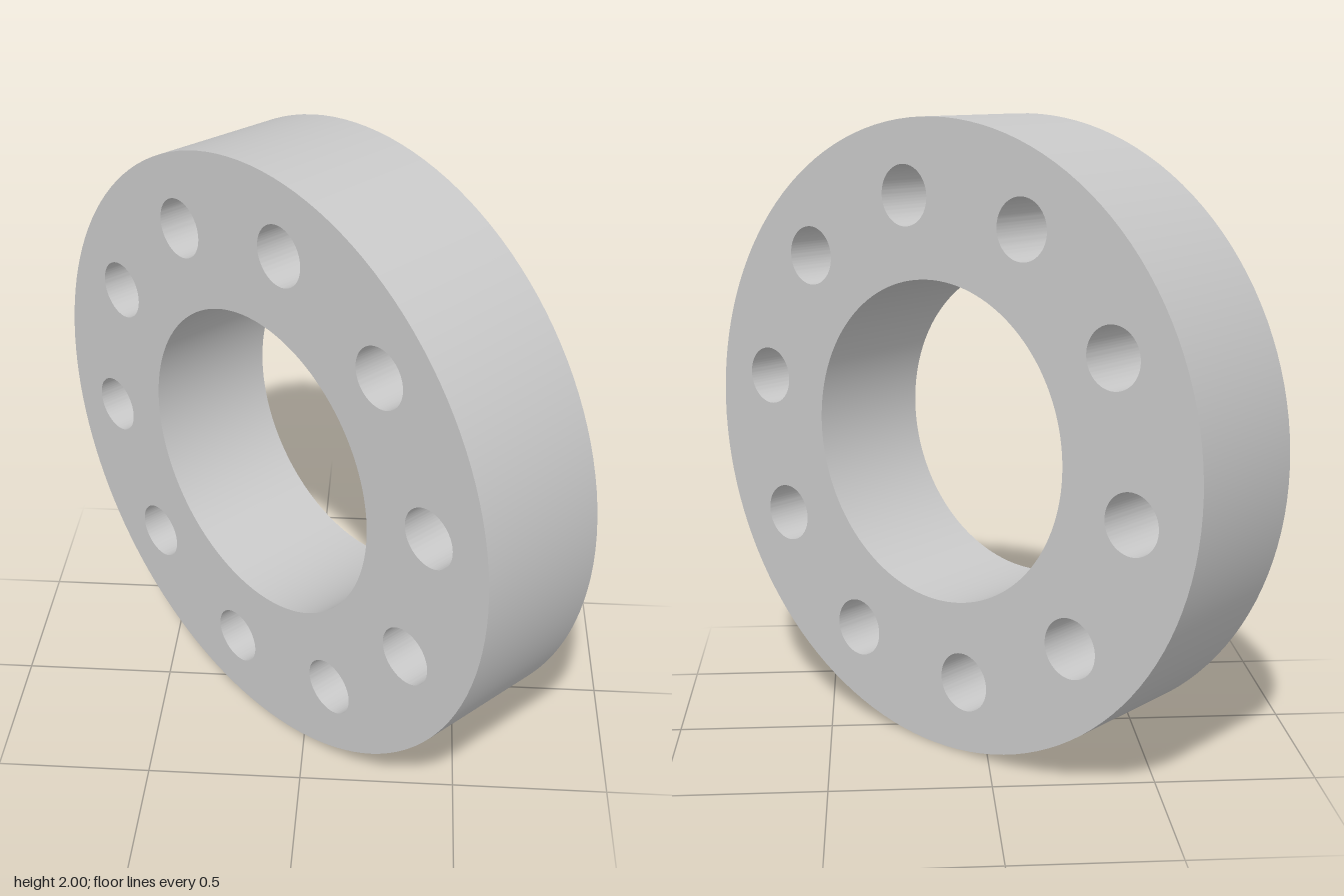
import * as THREE from 'three';
import { toCreasedNormals } from 'three/addons/utils/BufferGeometryUtils.js';

const THICKNESS = 0.45;
const BOLT_COUNT = 10;
const BOLT_CIRCLE = 0.77;

const circlePath = (x, y, r) => new THREE.Path().absarc(x, y, r, 0, Math.PI * 2, true);

export function createModel() {
  const steel = new THREE.MeshStandardMaterial({ color: 0xc8c8c8 });
  steel.name = 'light grey';

  // Disc outline with a central bore
  const outline = new THREE.Shape();
  outline.absarc(0, 0, 1, 0, Math.PI * 2, false);
  outline.holes.push(circlePath(0, 0, 0.51));

  // Evenly spaced through holes, starting a quarter step above the horizontal
  for (let i = 0; i < BOLT_COUNT; i++) {
    const a = (i + 0.25) * Math.PI * 2 / BOLT_COUNT;
    outline.holes.push(circlePath(BOLT_CIRCLE * Math.cos(a), BOLT_CIRCLE * Math.sin(a), 0.095));
  }

  const extruded = new THREE.ExtrudeGeometry(outline, {
    depth: THICKNESS, bevelEnabled: false, curveSegments: 64,
  });
  extruded.translate(0, 0, -THICKNESS / 2);

  // Smooth round walls, sharp rims
  const ring = new THREE.Mesh(toCreasedNormals(extruded, Math.PI / 6), steel);
  ring.name = 'flangeRing';
  ring.position.y = 1;
  ring.rotation.y = -Math.PI / 4;

  const model = new THREE.Group();
  model.name = 'flange';
  model.add(ring);
  return model;
}
